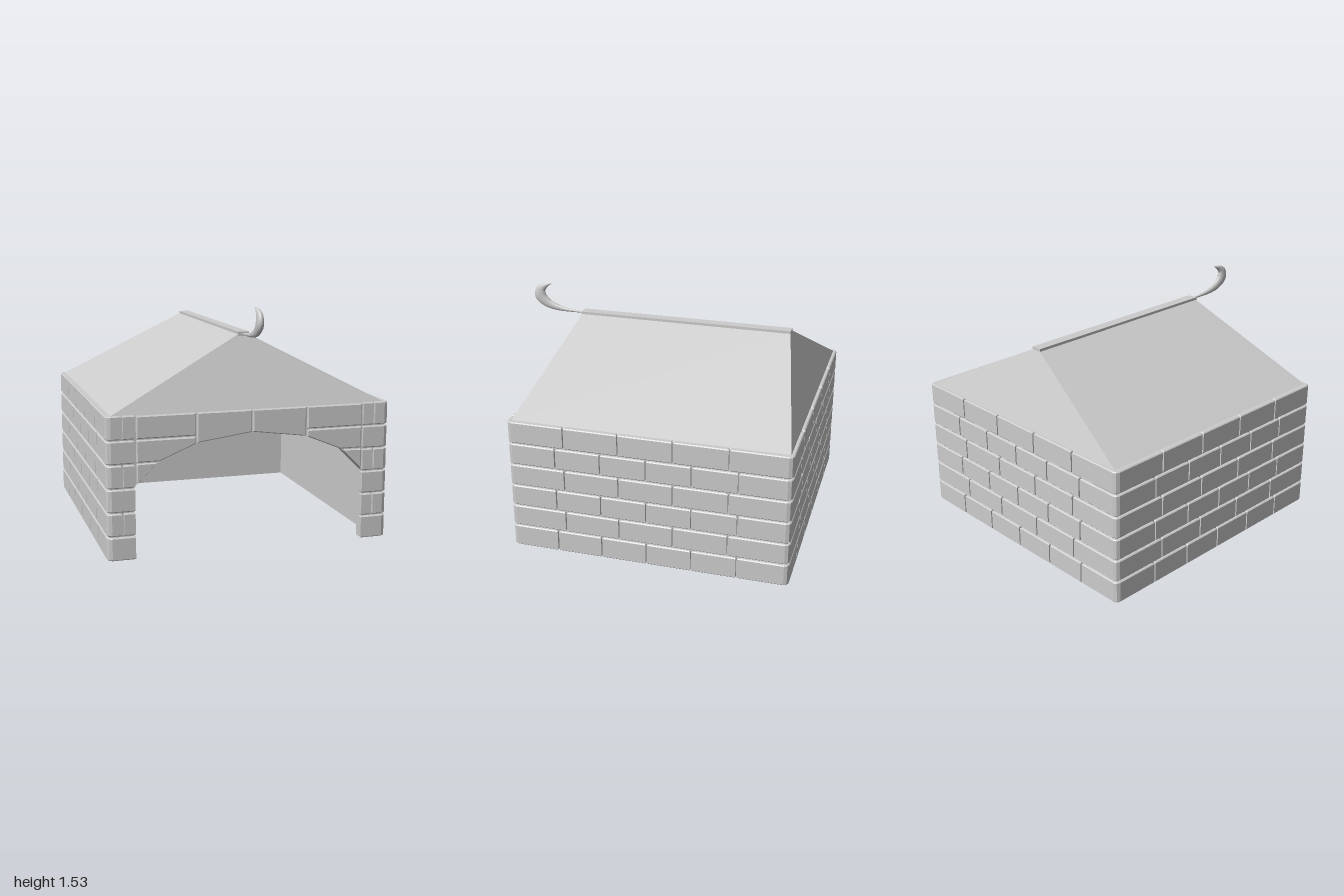
import * as THREE from 'three';
import { ParametricGeometry } from 'three/addons/geometries/ParametricGeometry.js';

const X = 0.92, ZF = 0.84, ZB = -1;      // outer wall faces
const ROWS = 6, ROW = 0.149, TOP = 0.889;
const GAP = 0.005, DEPTH = 0.04;         // half mortar gap, brick depth

export function createModel() {
  const root = new THREE.Group();
  root.name = 'brickShelter';
  const flat = new THREE.MeshStandardMaterial({ color: 0xcccccc, flatShading: true });
  const smooth = new THREE.MeshStandardMaterial({ color: 0xcccccc });

  const add = (name, geometry, parent = root, material = flat) => {
    const mesh = new THREE.Mesh(geometry, material);
    mesh.name = name;
    parent.add(mesh);
    return mesh;
  };
  const group = (name) => {
    const g = new THREE.Group();
    g.name = name;
    root.add(g);
    return g;
  };
  const box = (name, x0, x1, y0, y1, z0, z1, parent) =>
    add(name, new THREE.BoxGeometry(x1 - x0, y1 - y0, z1 - z0)
      .translate((x0 + x1) / 2, (y0 + y1) / 2, (z0 + z1) / 2), parent);

  // Extrusion with a small chamfer kept inside the outline
  const bevelled = (points, depth, b = 0.006) =>
    new THREE.ExtrudeGeometry(new THREE.Shape(points.map(([x, y]) => new THREE.Vector2(x, y))), {
      depth: depth - 2 * b, bevelEnabled: b > 0, bevelThickness: b,
      bevelSize: b, bevelOffset: -b, bevelSegments: 1,
    }).translate(0, 0, b);

  // Brick from a plan outline of [x, z] points, in a given row
  const bricks = group('bricks');
  const planBrick = (name, outline, row) => {
    const y0 = row * ROW + (row ? GAP : 0);
    const y1 = (row + 1) * ROW - (row < ROWS - 1 ? GAP : 0);
    add(name, bevelled(outline.map(([x, z]) => [x, -z]), y1 - y0)
      .rotateX(-Math.PI / 2).translate(0, y0, 0), bricks);
  };
  const rect = (x0, x1, z0, z1) => [[x0, z0], [x1, z0], [x1, z1], [x0, z1]];

  // L-shaped brick wrapped round a softened corner
  const cornerBrick = (sx, Z, sz, xEnd, zEnd, row) => {
    const ox = sx * X, ix = sx * (X - DEPTH), iz = Z - sz * DEPTH;
    planBrick('cornerBrick', [
      [sx * xEnd, Z], [ox - sx * 0.03, Z], [ox - sx * 0.009, Z - sz * 0.009],
      [ox, Z - sz * 0.03], [ox, zEnd], [ix, zEnd], [ix, iz], [sx * xEnd, iz],
    ], row);
  };

  // Staggered courses
  for (let row = 0; row < ROWS; row++) {
    const odd = row % 2 === 1;
    const sideJoints = odd ? [-0.61, -0.255, 0.1, 0.46] : [-0.67, -0.375, -0.08, 0.22, 0.52];
    const backJoints = odd ? [-0.535, -0.18, 0.18, 0.535] : [-0.6, -0.3, 0, 0.3, 0.6];
    for (const sx of [-1, 1]) {
      cornerBrick(sx, ZF, 1, odd ? 0.825 : 0.745, sideJoints.at(-1) + GAP, row);
      cornerBrick(sx, ZB, -1, backJoints.at(-1) + GAP, sideJoints[0] - GAP, row);
      if (odd) {
        planBrick('pillarBrick', rect(sx * 0.745, sx * 0.815, ZF - DEPTH, ZF), row);
      }
      for (let i = 0; i < sideJoints.length - 1; i++) {
        planBrick('sideBrick', rect(sx * (X - DEPTH), sx * X,
          sideJoints[i] + GAP, sideJoints[i + 1] - GAP), row);
      }
    }
    for (let i = 0; i < backJoints.length - 1; i++) {
      planBrick('backBrick', rect(backJoints[i] + GAP, backJoints[i + 1] - GAP, ZB, ZB + DEPTH), row);
    }
  }

  // Arch stones over the front opening, mirrored
  const archStones = [
    [[0.004, 0.75], [0.004, TOP], [0.355, TOP], [0.355, 0.703]],
    [[0.365, 0.75], [0.365, TOP], [0.733, TOP], [0.733, 0.75]],
    [[0.365, 0.74], [0.733, 0.74], [0.733, 0.605], [0.59, 0.605], [0.365, 0.698]],
    [[0.605, 0.595], [0.733, 0.595], [0.733, 0.467]],
  ];
  for (const sx of [-1, 1]) {
    for (const stone of archStones) {
      add('archStone', bevelled(stone.map(([x, y]) => [sx * x, y]), DEPTH)
        .translate(0, 0, ZF - DEPTH), bricks);
    }
  }

  // Mortar walls behind the bricks
  const walls = group('walls');
  const out = X - 0.02, inn = X - 0.08, coreTop = TOP - 0.004;
  for (const sx of [-1, 1]) {
    box('sideWall', Math.min(sx * out, sx * inn), Math.max(sx * out, sx * inn),
      0, coreTop, ZB + 0.02, ZF - 0.02, walls);
  }
  box('backWall', -inn, inn, 0, coreTop, ZB + 0.02, ZB + 0.08, walls);
  const arch = [[0.75, 0], [0.75, 0.45], [0.6, 0.6], [0.355, 0.703]];
  const flip = (points) => points.map(([x, y]) => [-x, y]);
  add('frontWall', bevelled([
    [inn, 0], [inn, coreTop], [-inn, coreTop], [-inn, 0],
    ...flip(arch), [0, 0.75], ...arch.slice().reverse(),
  ], 0.06, 0).translate(0, 0, ZF - 0.08), walls);

  // Hipped roof with a flat ceiling: a box drawn in to the ridge
  const roof = new THREE.BoxGeometry(2, 2, 2);
  const p = roof.attributes.position;
  for (let i = 0; i < p.count; i++) {
    const up = p.getY(i) > 0, front = p.getZ(i) > 0;
    p.setXYZ(i, p.getX(i) * (up ? 0.035 : 0.9), up ? 1.335 : TOP - 0.003,
      up ? (front ? 0.64 : -0.8) : (front ? 0.82 : -0.98));
  }
  roof.computeVertexNormals();
  add('roof', roof);
  box('ridgeBeam', -0.035, 0.035, 1.325, 1.352, -0.8, 0.645);

  // Curled horn at the front of the ridge: [z, y, radius] along its spine
  const spine = new THREE.CatmullRomCurve3([
    [0.64, 1.337, 0.005], [0.74, 1.342, 0.011], [0.83, 1.354, 0.02], [0.91, 1.384, 0.032],
    [0.956, 1.432, 0.041], [0.951, 1.475, 0.034], [0.92, 1.503, 0.019], [0.87, 1.525, 0.001],
  ].map(([z, y, r]) => new THREE.Vector3(r, y, z)));
  add('ridgeHorn', new ParametricGeometry((u, v, target) => {
    const c = spine.getPoint(v), t = spine.getTangent(v);
    const len = Math.hypot(t.y, t.z), a = -u * Math.PI * 2, r = Math.max(c.x, 0.0005);
    const s = Math.sin(a) * r;
    target.set(Math.cos(a) * Math.min(r * 0.9, 0.006 + r * 0.42),
      c.y + s * t.z / len, c.z - s * t.y / len);
  }, 16, 32), root, Object.assign(smooth, { side: THREE.DoubleSide }));

  return root;
}
